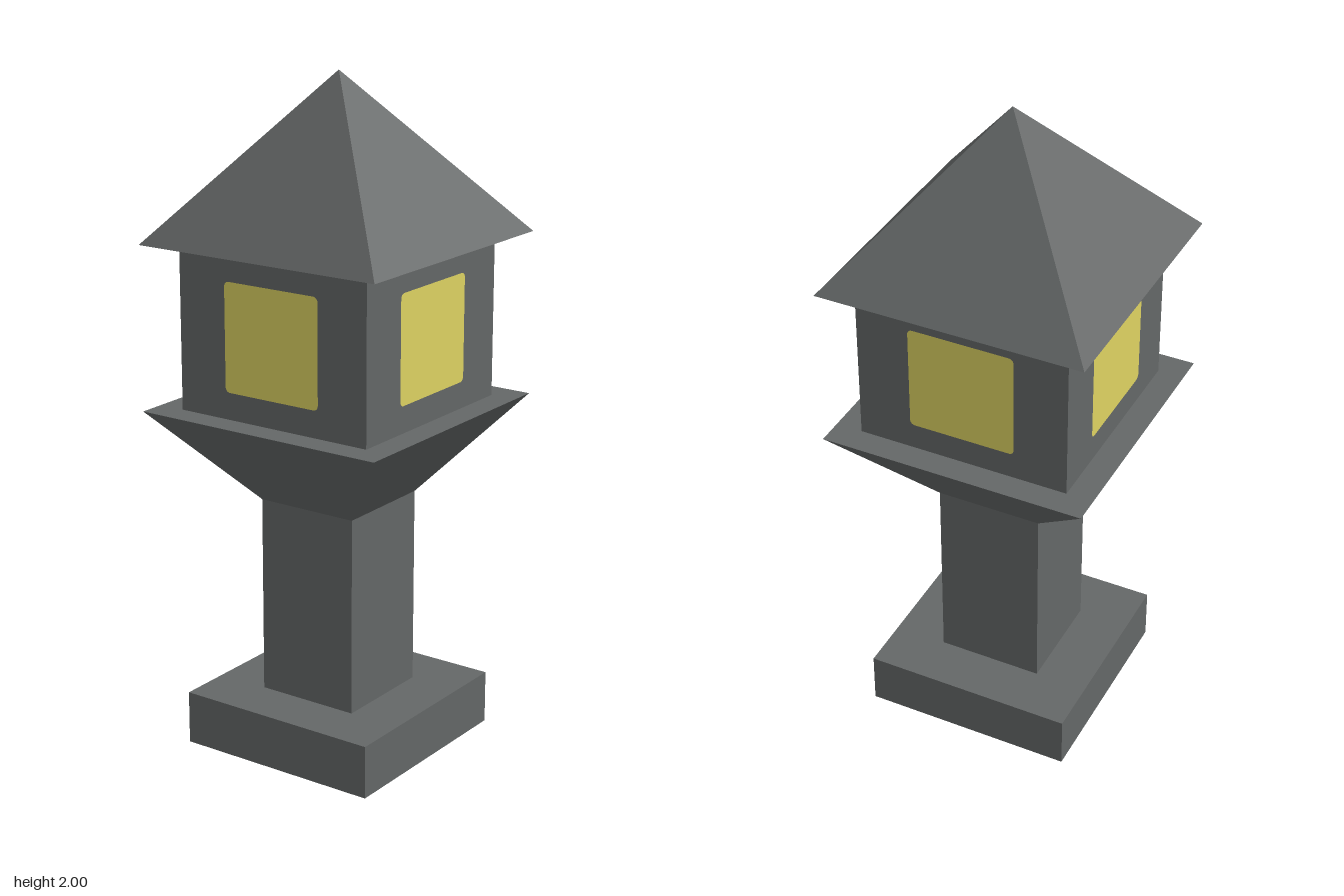
import * as THREE from 'three';

export function createModel() {
  const group = new THREE.Group();
  const stone = new THREE.MeshStandardMaterial({ color: 0x646767 });
  stone.name = 'grey stone';
  const glow = new THREE.MeshStandardMaterial({ color: 0xded362 });
  glow.name = 'yellow window light';

  // Square block between two heights, with its own half width at each end
  function block(name, y0, y1, halfBottom, halfTop) {
    const geo = new THREE.CylinderGeometry(halfTop * Math.SQRT2, halfBottom * Math.SQRT2, y1 - y0, 4)
      .rotateY(Math.PI / 4).toNonIndexed();
    geo.computeVertexNormals();
    const mesh = new THREE.Mesh(geo, stone);
    mesh.name = name;
    mesh.position.y = (y0 + y1) / 2;
    group.add(mesh);
  }

  block('base', 0, 0.16, 0.32, 0.32);
  block('post', 0.16, 0.756, 0.16, 0.16);
  block('flaredPlatform', 0.756, 1.04, 0.16, 0.4);
  block('lampHouse', 1.04, 1.525, 0.32, 0.32);
  block('roof', 1.525, 2, 0.4, 0);

  // Window pane outline with slightly rounded corners
  const h = 0.16, r = 0.015;
  const pane = new THREE.Shape();
  pane.absarc(h - r, h - r, r, 0, Math.PI / 2);
  pane.absarc(r - h, h - r, r, Math.PI / 2, Math.PI);
  pane.absarc(r - h, r - h, r, Math.PI, Math.PI * 1.5);
  pane.absarc(h - r, r - h, r, Math.PI * 1.5, Math.PI * 2);
  const paneGeo = new THREE.ShapeGeometry(pane, 4).translate(0, 1.28, 0.322);

  // One glowing window on each wall
  ['front', 'left', 'back', 'right'].forEach((side, i) => {
    const win = new THREE.Mesh(paneGeo, glow);
    win.name = side + 'Window';
    win.rotation.y = i * Math.PI / 2;
    group.add(win);
  });

  return group;
}
